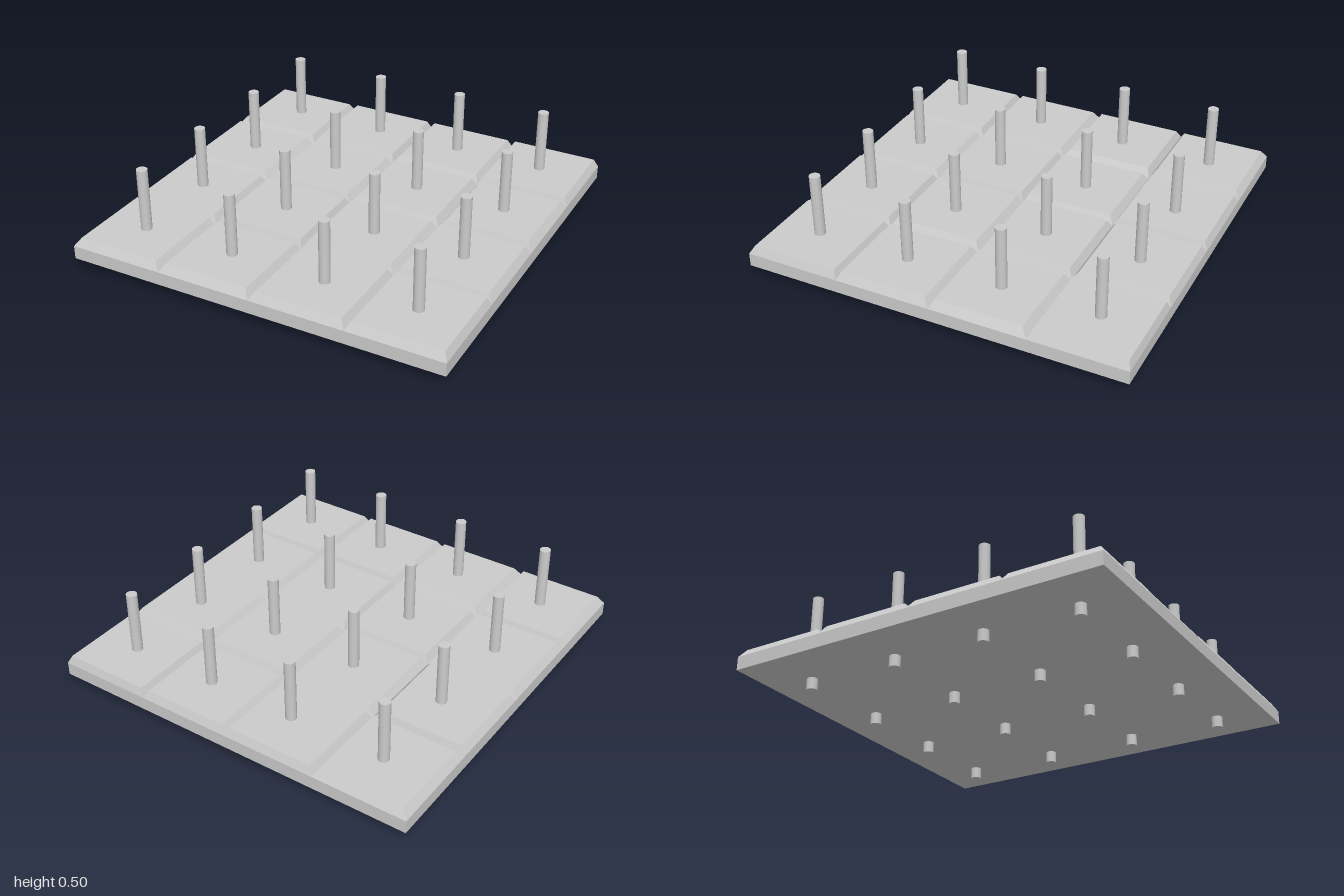
import * as THREE from 'three';

const material = new THREE.MeshStandardMaterial({ color: 0xcccccc });
const CELL = 0.5, SLAB_BOTTOM = 0.06, SLAB_TOP = 0.13, TILE_TOP = 0.173;
const PEG_HEIGHT = 0.505, PEG_RADIUS = 0.028;

// Hand-cut irregularity: bevel insets [left edge, right edge, back, front] per tile, rows from back to front
const BEVELS = [
  [[.03, .025, .028, .03], [.025, .02, .02, .025], [.027, .025, .02, .03], [.02, .023, .015, .02]],
  [[.027, .035, .02, .027], [.03, .03, .026, .02], [.027, .025, .022, .027], [.03, .03, .03, .02]],
  [[.03, .025, .027, .024], [.025, .02, .022, .02], [.022, .03, .027, .024], [.027, .026, .027, .02]],
  [[.032, .027, .02, .027], [.03, .026, .03, .03], [.027, .024, .02, .027], [.024, .02, .02, .027]],
];
const PEG_X = [
  [-.727, -.21, .268, .748],
  [-.73, -.225, .26, .748],
  [-.742, -.235, .267, .748],
  [-.74, -.24, .267, .748],
];
const PEG_Z = [-.755, -.253, .25, .75];

function addMesh(parent, name, geometry, x, y, z) {
  const mesh = new THREE.Mesh(geometry, material);
  mesh.name = name;
  mesh.position.set(x, y, z);
  parent.add(mesh);
}

// Box whose top corners are pulled inward to make four sloping bevels
function tileGeometry([left, right, back, front]) {
  const g = new THREE.BoxGeometry(CELL, TILE_TOP - SLAB_TOP, CELL);
  const p = g.attributes.position;
  for (let i = 0; i < p.count; i++) {
    if (p.getY(i) < 0) continue;
    p.setX(i, p.getX(i) + (p.getX(i) < 0 ? left : -right));
    p.setZ(i, p.getZ(i) + (p.getZ(i) < 0 ? back : -front));
  }
  g.computeVertexNormals();
  return g;
}

export function createModel() {
  const board = new THREE.Group();
  board.name = 'pegBoard';

  // Base slab under all tiles
  addMesh(board, 'baseSlab', new THREE.BoxGeometry(2, SLAB_TOP - SLAB_BOTTOM, 2),
    0, (SLAB_TOP + SLAB_BOTTOM) / 2, 0);

  // Four by four bevelled tiles, each with a peg passing right through
  const peg = new THREE.CylinderGeometry(PEG_RADIUS, PEG_RADIUS, PEG_HEIGHT, 20);
  for (let row = 0; row < 4; row++) {
    for (let col = 0; col < 4; col++) {
      addMesh(board, 'tile', tileGeometry(BEVELS[row][col]),
        (col - 1.5) * CELL, (SLAB_TOP + TILE_TOP) / 2, (row - 1.5) * CELL);
      addMesh(board, 'peg', peg, PEG_X[row][col], PEG_HEIGHT / 2, PEG_Z[row]);
    }
  }
  return board;
}
